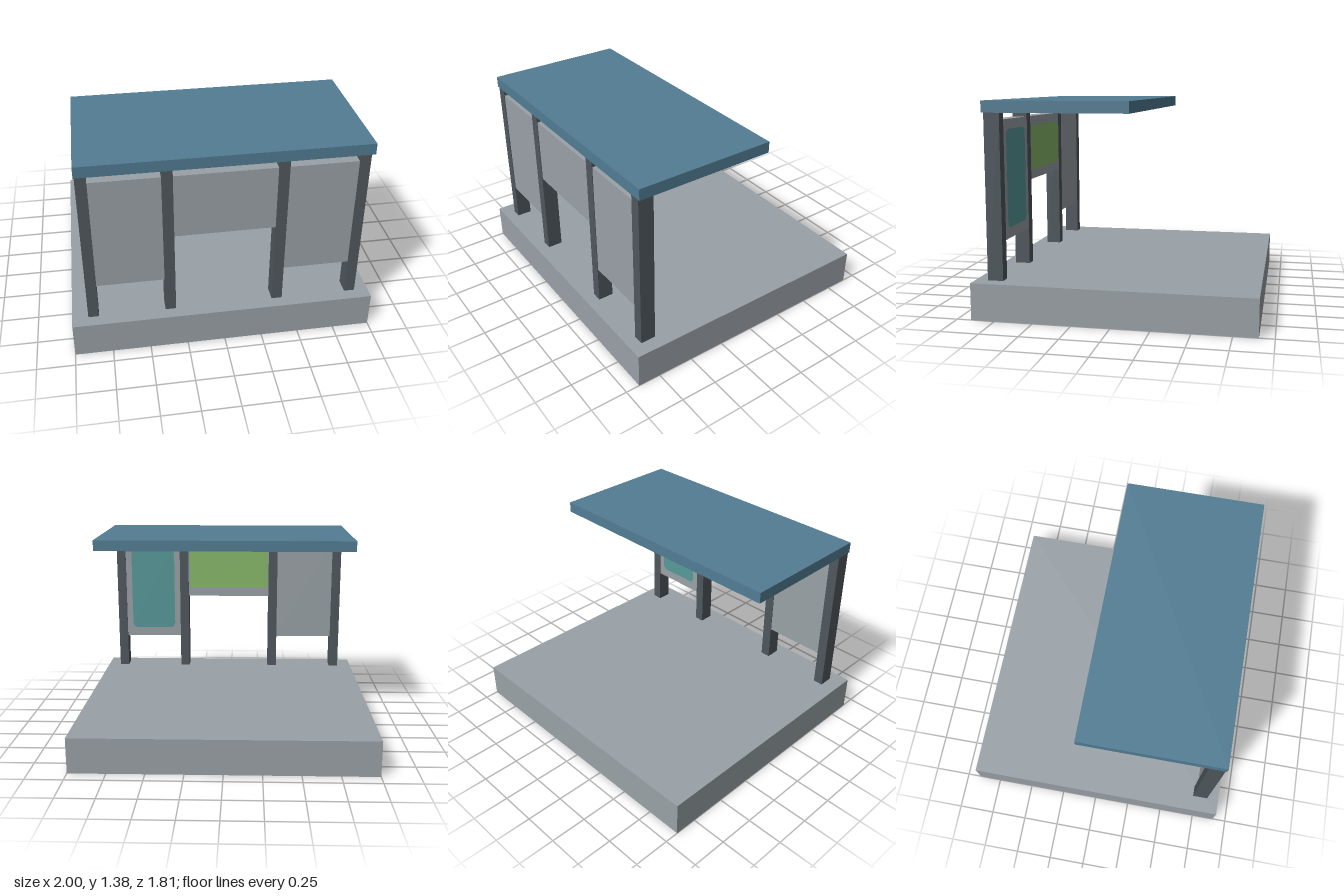
import * as THREE from 'three';

const material = (name, color) => {
  const m = new THREE.MeshStandardMaterial({ color });
  m.name = name;
  return m;
};

// Box given by its minimum and maximum on each axis
function box(name, mat, [x0, x1], [y0, y1], [z0, z1]) {
  const mesh = new THREE.Mesh(new THREE.BoxGeometry(x1 - x0, y1 - y0, z1 - z0), mat);
  mesh.position.set((x0 + x1) / 2, (y0 + y1) / 2, (z0 + z1) / 2);
  mesh.name = name;
  return mesh;
}

// Flat sheet with rounded corners, facing the back (-z)
function poster(name, mat, [x0, x1], [y0, y1], z, r) {
  const w = (x1 - x0) / 2, h = (y1 - y0) / 2;
  const s = new THREE.Shape();
  s.absarc(w - r, h - r, r, 0, Math.PI / 2);
  s.absarc(-w + r, h - r, r, Math.PI / 2, Math.PI);
  s.absarc(-w + r, -h + r, r, Math.PI, Math.PI * 1.5);
  s.absarc(w - r, -h + r, r, Math.PI * 1.5, Math.PI * 2);
  const mesh = new THREE.Mesh(new THREE.ShapeGeometry(s, 5), mat);
  mesh.rotation.y = Math.PI;
  mesh.position.set((x0 + x1) / 2, (y0 + y1) / 2, z);
  mesh.name = name;
  return mesh;
}

export function createModel() {
  const group = new THREE.Group();
  group.name = 'shelter';
  const concrete = material('concrete grey', 0x9aa2a7);
  const steel = material('dark steel', 0x50585e);
  const blue = material('roof blue', 0x527d94);
  const teal = material('poster teal', 0x589a9a);
  const green = material('poster green', 0x88ba6a);

  // Ground slab and overhanging roof
  group.add(box('platform', concrete, [-1, 1], [0, 0.24], [-0.905, 0.905]));
  group.add(box('roof', blue, [-0.9, 0.93], [1.31, 1.385], [-0.11, 0.83]));

  // Row of four posts
  const posts = [[-0.895, -0.825], [-0.387, -0.317], [0.33, 0.4], [0.837, 0.907]];
  posts.forEach((x) => group.add(box('post', steel, x, [0.24, 1.31], [0.72, 0.823])));

  // Panels fill the bays between the posts; the middle one is shorter
  [0.49, 0.825, 0.49].forEach((bottom, i) => {
    const span = [posts[i][1], posts[i + 1][0]];
    group.add(box('panel', concrete, span, [bottom, 1.265], [0.724, 0.819]));
  });

  // Posters on the back of the panels
  group.add(poster('sidePoster', teal, [0.445, 0.79], [0.56, 1.2], 0.721, 0.04));
  group.add(poster('middlePoster', green, [-0.307, 0.32], [0.89, 1.2], 0.721, 0.02));

  return group;
}
